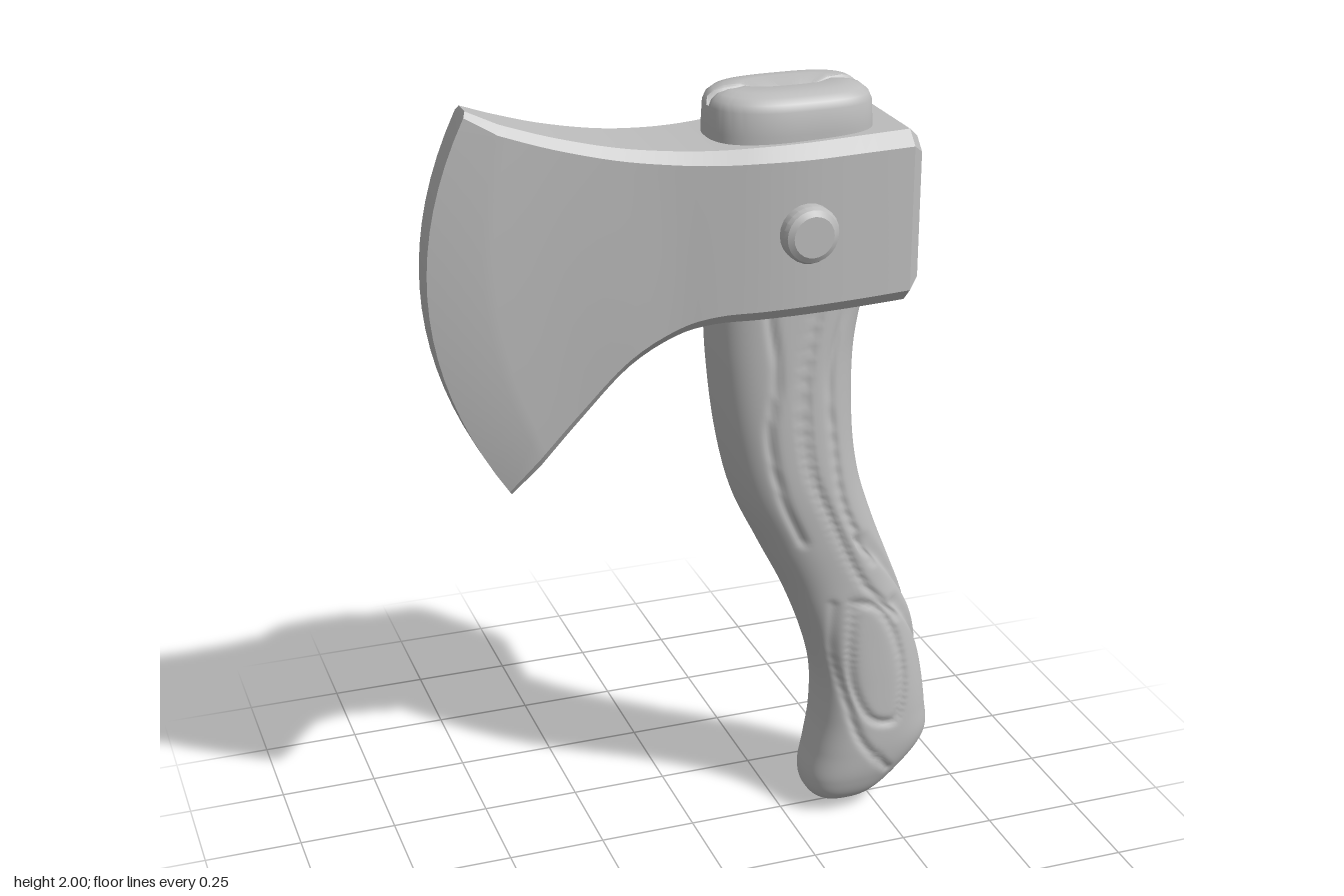
import * as THREE from 'three';
import { toCreasedNormals } from 'three/addons/utils/BufferGeometryUtils.js';

const V = (x, y, z = 0) => new THREE.Vector3(x, y, z);

// Smoothly interpolate every column of a table of rows, t in 0..1
function sample(rows, t) {
  const f = t * (rows.length - 1);
  const i = Math.min(Math.floor(f), rows.length - 2);
  const u = f - i;
  const row = (k) => rows[THREE.MathUtils.clamp(k, 0, rows.length - 1)];
  return row(i).map((b, c) => {
    const a = row(i - 1)[c], d = row(i + 1)[c], e = row(i + 2)[c];
    return b + 0.5 * u * (d - a + u * (2 * a - 5 * b + 4 * d - e + u * (3 * (b - d) + e - a)));
  });
}

// Skin closed rings of points; strip caps join opposite sides of the end rings
function loft(rings, caps = false) {
  const m = rings[0].length, n = rings.length, index = [];
  for (let i = 0; i < n - 1; i++) {
    for (let j = 0; j < m; j++) {
      const k = (j + 1) % m;
      const a = i * m + j, b = i * m + k, c = a + m, d = b + m;
      index.push(a, b, c, b, d, c);
    }
  }
  if (caps) {
    const last = (n - 1) * m;
    for (let j = 0; j < m / 2 - 1; j++) {
      const a = j, b = m - 1 - j, c = j + 1, d = m - 2 - j;
      index.push(a, b, c, b, d, c);
      index.push(last + a, last + c, last + b, last + b, last + c, last + d);
    }
  }
  const geo = new THREE.BufferGeometry().setFromPoints(rings.flat());
  geo.setIndex(index);
  geo.computeVertexNormals();
  return geo;
}

const power = (v, e) => Math.sign(v) * Math.abs(v) ** e;

// Axe head: topX, topY, bottomX, bottomY, forward bulge, half thickness, chamfer
function headGeometry() {
  const edge = [-0.55, 2.0, -0.47, 1.045, 0.145, 0.038, 0.012];
  const body = [
    [-0.48, 1.97, -0.40, 1.125, 0.09, 0.072, 0.02],
    [-0.36, 1.932, -0.30, 1.24, 0.05, 0.087, 0.022],
    [-0.22, 1.90, -0.19, 1.36, 0.02, 0.108, 0.024],
    [-0.10, 1.885, -0.08, 1.43, 0, 0.128, 0.026],
    [0.01, 1.88, 0.01, 1.456, 0, 0.150, 0.028],
    [0.12, 1.883, 0.12, 1.461, 0, 0.172, 0.03],
    [0.23, 1.886, 0.23, 1.464, 0, 0.183, 0.032],
    [0.36, 1.89, 0.36, 1.466, 0, 0.182, 0.033],
    [0.49, 1.892, 0.49, 1.468, 0, 0.175, 0.034],
  ];
  const back = [0.52, 1.865, 0.52, 1.495, 0, 0.148, 0.03];
  const rows = [edge];
  for (let i = 0; i <= 32; i++) rows.push(sample(body, i / 32));
  rows.push(back);

  const steps = 20;
  const rings = rows.map(([tx, ty, bx, by, bulge, h, c]) => {
    const side = [];
    for (let j = 0; j <= steps; j++) {
      let s = (j - 1) / (steps - 2);
      let y = THREE.MathUtils.lerp(ty - c, by + c, s), z = h;
      if (j === 0) { y = ty; z = h - c; }
      if (j === steps) { y = by; z = h - c; }
      s = (ty - y) / (ty - by);
      const x = THREE.MathUtils.lerp(tx, bx, s) - bulge * (1 - (2 * s - 1) ** 2);
      side.push(V(x, y, z));
    }
    return [...side, ...side.map((p) => V(p.x, p.y, -p.z)).reverse()];
  });
  return toCreasedNormals(loft(rings, true), 0.4);
}

// Carved grain lines: side grooves in (x, y), rear grooves in (|z|, y)
const line = (...pts) => new THREE.CatmullRomCurve3(pts.map(([x, y]) => V(x, y))).getPoints(50);
const sideGrooves = [
  line([0.15, 1.46], [0.17, 1.3], [0.155, 1.15], [0.19, 0.98], [0.25, 0.84]),
  line([0.27, 1.46], [0.24, 1.25], [0.26, 1.05], [0.33, 0.88], [0.42, 0.7], [0.52, 0.58]),
  line([0.35, 1.46], [0.31, 1.3], [0.325, 1.1], [0.36, 0.92], [0.45, 0.75]),
  line([0.345, 0.64], [0.35, 0.5], [0.39, 0.35], [0.43, 0.23], [0.51, 0.13]),
  // oval knot
  line([0.40, 0.64], [0.46, 0.62], [0.52, 0.52], [0.545, 0.38], [0.52, 0.28],
    [0.46, 0.29], [0.41, 0.38], [0.395, 0.5], [0.40, 0.64]),
];
const rearGrooves = [
  line([0, 1.3], [0, 0.9], [0, 0.5]),
  line([0.11, 0.82], [0.06, 0.68], [0, 0.5]),
  line([0.09, 0.62], [0.045, 0.47], [0, 0.33]),
];

function carve(lines, x, y) {
  let d = 1;
  for (const pts of lines) for (const p of pts) d = Math.min(d, Math.hypot(p.x - x, p.y - y));
  return Math.exp(-((d / 0.012) ** 2));
}

// Handle: frontX, frontY, rearX, rearY, half depth
function handleGeometry() {
  const rows = [
    [0.035, 1.50, 0.435, 1.50, 0.135],
    [0.043, 1.32, 0.405, 1.34, 0.136],
    [0.068, 1.12, 0.405, 1.15, 0.137],
    [0.11, 0.95, 0.425, 1.0, 0.135],
    [0.18, 0.8, 0.47, 0.86, 0.124],
    [0.25, 0.66, 0.53, 0.71, 0.112],
    [0.305, 0.52, 0.59, 0.56, 0.112],
    [0.335, 0.4, 0.622, 0.42, 0.116],
    [0.337, 0.28, 0.642, 0.29, 0.12],
    [0.322, 0.18, 0.645, 0.2, 0.12],
    [0.308, 0.1, 0.58, 0.115, 0.108],
    [0.325, 0.045, 0.5, 0.042, 0.078],
    [0.39, 0.003, 0.41, 0.003, 0.01],
    [0.4, 0, 0.4, 0, 0],
  ];
  const rings = [], along = 180, around = 128;
  for (let i = 0; i <= along; i++) {
    const [fx, fy, rx, ry, h] = sample(rows, i / along);
    const ring = [];
    for (let j = 0; j < around; j++) {
      const t = (j / around) * Math.PI * 2;
      const c = power(Math.cos(t), 0.78), s = power(Math.sin(t), 0.78);
      const p = V((fx + rx) / 2 + (c * (rx - fx)) / 2, (fy + ry) / 2 + (c * (ry - fy)) / 2, s * h);
      const side = Math.abs(s) > 0.4 ? carve(sideGrooves, p.x, p.y) : 0;
      const rear = c > 0.4 ? carve(rearGrooves, Math.abs(p.z), p.y) : 0;
      p.z *= 1 - 0.075 * side;
      p.x -= 0.014 * rear;
      ring.push(p);
    }
    rings.push(ring);
  }
  return loft(rings);
}

// Rounded top of the handle with a split along its length: height, inset
function stubGeometry() {
  const profile = [[1.85, 0], [1.9, 0], [1.955, 0.003], [1.972, 0.01], [1.985, 0.026],
    [1.992, 0.05], [1.996, 0.09], [1.997, 0.134]];
  const around = 96;
  const rings = profile.map(([y, inset]) => Array.from({ length: around }, (_, j) => {
    const t = (j / around) * Math.PI * 2;
    const e = Math.cos(t) > 0 ? 0.58 : 0.8;
    const z = -power(Math.sin(t), e) * (0.136 - inset);
    const split = y > 1.96 ? 0.018 * Math.exp(-((z / 0.008) ** 2)) : 0;
    return V(0.23 + power(Math.cos(t), e) * (0.2 - inset), y - split, z);
  }));
  // close the middle along the split
  rings.push(rings.at(-1).map((p) => V(p.x, 1.979, 0)));
  return toCreasedNormals(loft(rings), 0.7);
}

function rivetGeometry() {
  const profile = [[0.05, 0.16], [0.058, 0.182], [0.07, 0.195], [0.07, 0.218], [0.064, 0.23],
    [0.05, 0.238], [0, 0.238]].map(([r, y]) => new THREE.Vector2(r, y));
  return toCreasedNormals(new THREE.LatheGeometry(profile, 24), 0.5);
}

export function createModel() {
  const group = new THREE.Group();
  const grey = new THREE.MeshStandardMaterial({ color: 0xbcbcbc });
  grey.name = 'plain grey';
  const add = (name, geometry) => {
    const mesh = new THREE.Mesh(geometry, grey);
    mesh.name = name;
    group.add(mesh);
    return mesh;
  };

  add('axeHead', headGeometry());
  add('handle', handleGeometry());
  add('handleTop', stubGeometry());
  for (const side of [1, -1]) {
    const rivet = add(side > 0 ? 'frontRivet' : 'backRivet', rivetGeometry());
    rivet.rotation.x = (side * Math.PI) / 2;
    rivet.position.set(0.215, 1.685, 0);
  }
  return group;
}
